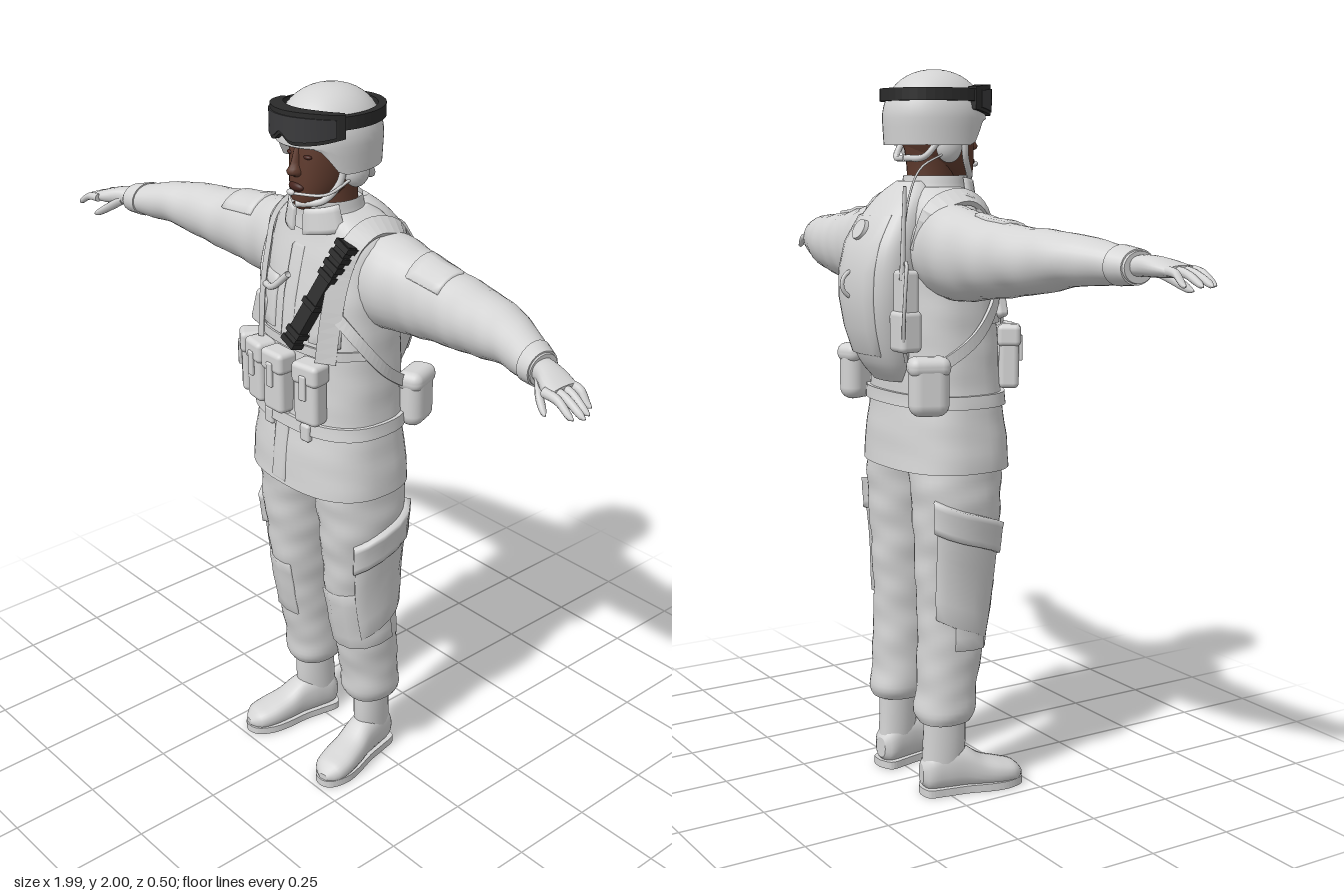
import * as THREE from 'three';
import { RoundedBoxGeometry } from 'three/addons/geometries/RoundedBoxGeometry.js';

const V = (x, y, z) => new THREE.Vector3(x, y, z);
const { sin, cos, abs, sign, PI } = Math;

// Surface through rows of points; closed rows wrap, ends can be capped
function skin(rows, { closed = true, flip = false, caps = true } = {}) {
  const m = rows[0].length, pos = [], idx = [];
  rows.forEach(r => r.forEach(p => pos.push(p.x, p.y, p.z)));
  const tri = (a, b, c) => (flip ? idx.push(a, c, b) : idx.push(a, b, c));
  for (let i = 0; i < rows.length - 1; i++) {
    for (let j = 0; j < (closed ? m : m - 1); j++) {
      const a = i * m + j, b = i * m + (j + 1) % m;
      tri(a, a + m, b);
      tri(b, a + m, b + m);
    }
  }
  if (closed && caps) [rows[0], rows.at(-1)].forEach((r, end) => {
    const base = pos.length / 3, c = V(0, 0, 0);
    r.forEach(p => { c.add(p); pos.push(p.x, p.y, p.z); });
    c.divideScalar(m);
    pos.push(c.x, c.y, c.z);
    for (let j = 0; j < m; j++) {
      const k = base + (j + 1) % m;
      end ? tri(base + m, k, base + j) : tri(base + m, base + j, k);
    }
  });
  const g = new THREE.BufferGeometry();
  g.setAttribute('position', new THREE.Float32BufferAttribute(pos, 3));
  g.setIndex(idx);
  g.computeVertexNormals();
  return g;
}
function flat(g) {
  const f = g.toNonIndexed();
  f.computeVertexNormals();
  return f;
}

// Smoothly interpolated cross-section [t, u, v, ru, rv] of a form
function section(s, t) {
  let i = 0;
  while (i < s.length - 2 && t > s[i + 1][0]) i++;
  const h = s[i + 1][0] - s[i][0], k = (t - s[i][0]) / h;
  const slope = (n, c) => {
    const a = s[Math.max(n - 1, 0)], b = s[Math.min(n + 1, s.length - 1)];
    return (b[c] - a[c]) / (b[0] - a[0]) * h;
  };
  return [1, 2, 3, 4].map(c => {
    const a = s[i][c], b = s[i + 1][c], k2 = k * k, k3 = k2 * k;
    return a * (2 * k3 - 3 * k2 + 1) + b * (3 * k2 - 2 * k3) + slope(i, c) * (k3 - 2 * k2 + k) + slope(i + 1, c) * (k3 - k2);
  });
}
// Point on a form at distance t along its axis and angle a around it
function at(f, t, a, off = 0) {
  const [u, v, ru, rv] = section(f.s, t), e = 2 / (f.n ?? 2);
  const w = 1 + (f.w ?? 0) * (sin(t * 47 + 2 * a) + 0.6 * sin(t * 83 - 3 * a));
  const p = u + (ru * w + off) * sign(cos(a)) * abs(cos(a)) ** e;
  const q = v + (rv * w + off) * sign(sin(a)) * abs(sin(a)) ** e;
  return f.axis === 'x' ? V(t, p, q) : f.axis === 'z' ? V(p, q, t) : V(p, t, q);
}
function loft(f, rows = 24, cols = 28, t0 = f.s[0][0], t1 = f.s.at(-1)[0], off = 0, caps = true) {
  const r = Array.from({ length: rows + 1 }, (_, i) =>
    Array.from({ length: cols }, (_, j) => at(f, t0 + (t1 - t0) * i / rows, j / cols * 2 * PI, off)));
  return skin(r, { flip: !!f.axis && f.axis !== 'y', caps });
}
// Raised panel lying on a form
function panel(f, t0, t1, a0, a1, off, slant = 0) {
  const k = [0, 0.015, 0.2, 0.4, 0.6, 0.8, 0.985, 1], edge = i => i === 0 || i === k.length - 1;
  return skin(k.map((kt, i) => k.map((ka, j) =>
    at(f, t0 + (t1 - t0) * kt + slant * ka, a0 + (a1 - a0) * ka, edge(i) || edge(j) ? -0.003 : off))),
  { closed: false, flip: f.axis === 'x' });
}
// Flat webbing along a path
function strap(pts, width, thick = 0.01) {
  const curve = new THREE.CatmullRomCurve3(pts), n = 28;
  return flat(skin(Array.from({ length: n + 1 }, (_, i) => {
    const p = curve.getPoint(i / n), t = curve.getTangent(i / n);
    const out = p.clone().sub(V(0, Math.min(p.y, 1.45), 0.03)).normalize();
    const side = t.clone().cross(out).normalize().multiplyScalar(width / 2);
    const up = side.clone().normalize().cross(t).multiplyScalar(thick);
    return [p.clone().sub(side), p.clone().add(side), p.clone().add(side).add(up), p.clone().sub(side).add(up)];
  })));
}
const tube = (pts, r, n = 24) => new THREE.TubeGeometry(new THREE.CatmullRomCurve3(pts.map(p => V(...p))), n, r, 8);
const ball = (x, y, z, rx, ry, rz) => new THREE.SphereGeometry(1, 20, 14).scale(rx, ry, rz).translate(x, y, z);
const rbox = (w, h, d, r = 0.012) => new RoundedBoxGeometry(w, h, d, 3, r);
// Curved bar around the head between two angles
function headBar(a0, a1, low, high, inner, outer) {
  const n = 40;
  return flat(skin(Array.from({ length: n + 1 }, (_, i) => {
    const a = a0 + (a1 - a0) * i / n;
    const p = (r, y) => V(r[0] * cos(a), y, 0.045 + r[1] * sin(a));
    return [p(inner, low(a)), p(outer, low(a)), p(outer, high(a)), p(inner, high(a))];
  }), { flip: true }));
}
function mirrored(g) {
  const m = g.clone().scale(-1, 1, 1);
  if (!m.index) m.setIndex([...Array(m.attributes.position.count).keys()]);
  const a = m.index.array;
  for (let i = 0; i < a.length; i += 3) [a[i], a[i + 1]] = [a[i + 1], a[i]];
  return m;
}

// Main body forms
const torso = { n: 2.5, w: 0.004, s: [[0.93, 0, 0.05, 0.235, 0.17], [1.02, 0, 0.05, 0.227, 0.163], [1.13, 0, 0.048, 0.213, 0.15],
  [1.3, 0, 0.042, 0.204, 0.145], [1.45, 0, 0.035, 0.2, 0.137], [1.55, 0, 0.025, 0.2, 0.125], [1.62, 0, 0.02, 0.19, 0.11],
  [1.665, 0, 0.025, 0.15, 0.095], [1.69, 0, 0.035, 0.09, 0.08]] };
const arm = { axis: 'x', w: 0.012, s: [[0.1, 1.53, 0, 0.11, 0.1], [0.2, 1.52, -0.003, 0.125, 0.108], [0.3, 1.513, -0.007, 0.11, 0.095],
  [0.42, 1.513, 0.002, 0.094, 0.089], [0.5, 1.515, 0.012, 0.085, 0.087], [0.58, 1.52, 0.028, 0.075, 0.08],
  [0.66, 1.525, 0.05, 0.062, 0.07], [0.74, 1.52, 0.082, 0.05, 0.058], [0.81, 1.516, 0.108, 0.038, 0.046]] };
const leg = { n: 2.2, w: 0.014, s: [[0.215, 0.128, 0.003, 0.066, 0.074], [0.24, 0.126, 0.004, 0.08, 0.086], [0.3, 0.125, 0.01, 0.078, 0.084],
  [0.4, 0.125, 0.02, 0.079, 0.092], [0.5, 0.122, 0.03, 0.078, 0.1], [0.6, 0.12, 0.037, 0.081, 0.112], [0.7, 0.122, 0.04, 0.09, 0.118],
  [0.8, 0.124, 0.042, 0.1, 0.125], [0.9, 0.118, 0.043, 0.107, 0.13], [1, 0.11, 0.045, 0.105, 0.13]] };

export function createModel() {
  const group = new THREE.Group();
  const mat = (name, color, side = THREE.FrontSide) => Object.assign(new THREE.MeshStandardMaterial({ color, side }), { name });
  const white = mat('whiteFabric', 0xd4d4d4, THREE.DoubleSide), skinTone = mat('brownSkin', 0x5e3a2d);
  const black = mat('blackRubber', 0x2b2b2b), lens = mat('darkLens', 0x3a3a3c), lip = mat('darkLips', 0x47251f);
  const add = (name, g, m = white) => {
    const mesh = new THREE.Mesh(g, m);
    mesh.name = name;
    group.add(mesh);
    return mesh;
  };
  const both = (name, g, m) => { add(name + 'Left', g, m); add(name + 'Right', mirrored(g), m); };
  const path = list => list.map(([y, a]) => at(torso, y, a, 0.004));

  // Jacket
  add('jacket', loft(torso, 44, 44));
  add('collar', loft({ s: [[1.64, 0, 0.04, 0.12, 0.1], [1.68, 0, 0.045, 0.095, 0.09], [1.72, 0, 0.05, 0.087, 0.088]] }, 8, 32, 1.64, 1.72, 0, false));
  both('collarFlap', panel({ s: [[1.63, 0, 0.042, 0.12, 0.11], [1.72, 0, 0.052, 0.09, 0.092]] }, 1.65, 1.715, 0.4, 1.4, 0.008, -0.015));
  add('frontPlacket', panel(torso, 0.935, 1.6, PI / 2 - 0.02, PI / 2 + 0.12, 0.004));
  both('chestPocket', panel(torso, 1.36, 1.5, 0.75, 1.3, 0.007));
  add('belt', loft(torso, 4, 44, 1.105, 1.14, 0.01));
  for (const x of [-0.07, 0.08]) add('beltKeeper', rbox(0.035, 0.05, 0.02, 0.008).translate(x, 1.11, 0.2));

  // Sleeves and gloves
  both('sleeve', loft(arm, 44, 28));
  both('sleevePocket', panel(arm, 0.31, 0.43, -0.2, 0.9, 0.007));
  both('sleeveCuff', loft(arm, 4, 24, 0.765, 0.805, 0.004));
  both('palm', loft({ axis: 'x', n: 2.3, s: [[0.79, 1.518, 0.105, 0.024, 0.033], [0.83, 1.52, 0.12, 0.026, 0.036],
    [0.87, 1.516, 0.137, 0.022, 0.046], [0.91, 1.511, 0.15, 0.014, 0.046]] }, 10, 20));
  [[0.963, 0.118], [0.985, 0.15], [0.993, 0.173], [0.978, 0.195]].forEach(([tip, z], i) => {
    const z0 = 0.113 + 0.025 * i;
    both('finger', loft({ axis: 'x', s: [[0.885, 1.513, z0, 0.012, 0.012], [0.93, 1.508, (z0 + z) / 2, 0.011, 0.011],
      [tip - 0.012, 1.486, z, 0.009, 0.009], [tip, 1.481, z, 0.002, 0.002]] }, 10, 10));
  });
  both('thumb', loft({ axis: 'x', s: [[0.825, 1.512, 0.14, 0.014, 0.014], [0.855, 1.49, 0.17, 0.014, 0.013],
    [0.888, 1.468, 0.19, 0.01, 0.01], [0.9, 1.463, 0.196, 0.002, 0.002]] }, 10, 10));

  // Trousers
  both('trouserLeg', loft(leg, 60, 30));
  both('thighPocket', panel(leg, 0.52, 0.83, -0.9, 0.75, 0.01, -0.07));
  both('thighPocketFlap', panel(leg, 0.77, 0.86, -0.95, 0.8, 0.018, -0.08));
  both('kneePatch', panel(leg, 0.43, 0.62, -0.3, 2.1, 0.007, -0.02));

  // Boots, toes turned slightly outward
  const turn = g => g.rotateY(0.2).translate(0.128, 0, 0);
  both('bootShaft', turn(loft({ s: [[0.05, 0, -0.005, 0.042, 0.06], [0.14, 0, 0.002, 0.045, 0.062], [0.26, 0, 0.003, 0.048, 0.06]] }, 10, 24)));
  both('bootFoot', turn(loft({ axis: 'z', n: 2.4, s: [[-0.066, 0, 0.06, 0.02, 0.03], [-0.05, 0, 0.065, 0.039, 0.05], [0, 0, 0.075, 0.045, 0.065],
    [0.06, 0, 0.07, 0.046, 0.06], [0.11, 0, 0.053, 0.05, 0.045], [0.17, 0, 0.043, 0.053, 0.035], [0.215, 0, 0.037, 0.042, 0.026],
    [0.235, 0, 0.03, 0.015, 0.01]] }, 26, 24)));
  const sole = new THREE.Shape();
  sole.moveTo(0, -0.07);
  sole.splineThru([[0.04, -0.055], [0.044, 0], [0.045, 0.06], [0.055, 0.13], [0.054, 0.18], [0.035, 0.225], [0, 0.24], [-0.03, 0.225],
    [-0.05, 0.18], [-0.052, 0.13], [-0.044, 0.06], [-0.044, 0], [-0.04, -0.055], [0, -0.07]].map(p => new THREE.Vector2(...p)));
  const soleGeo = (a, b) => new THREE.ExtrudeGeometry(sole, { depth: 0.022, bevelEnabled: false, curveSegments: 5 })
    .scale(1, 1, -1).rotateX(PI / 2).translate(a, b, 0);
  both('bootSole', turn(mirrored(soleGeo(0, 0)).scale(1, 1, 1)));

  // Head and face
  add('neck', loft({ s: [[1.62, 0, 0.035, 0.065, 0.07], [1.74, 0, 0.035, 0.06, 0.068], [1.84, 0, 0.03, 0.07, 0.08]] }, 8, 24), skinTone);
  add('head', loft({ n: 2.2, s: [[1.697, 0, 0.125, 0.02, 0.025], [1.712, 0, 0.108, 0.042, 0.05], [1.75, 0, 0.075, 0.064, 0.086],
    [1.8, 0, 0.058, 0.076, 0.101], [1.85, 0, 0.05, 0.08, 0.105], [1.93, 0, 0.048, 0.075, 0.1]] }, 24, 32), skinTone);
  add('nose', loft({ s: [[1.783, 0, 0.15, 0.012, 0.012], [1.794, 0, 0.157, 0.021, 0.027], [1.815, 0, 0.153, 0.013, 0.02],
    [1.86, 0, 0.143, 0.01, 0.015]] }, 10, 14), skinTone);
  add('lips', ball(0, 1.757, 0.156, 0.027, 0.012, 0.012), lip);
  both('eye', ball(0.032, 1.837, 0.145, 0.014, 0.006, 0.009), lip);
  both('ear', ball(0.08, 1.81, 0.04, 0.012, 0.032, 0.02), skinTone);

  // Helmet with a rim that drops over ears and nape
  const shell = [];
  for (let i = 0; i <= 15; i++) shell.push(Array.from({ length: 40 }, (_, j) => {
    const a = j / 40 * 2 * PI, th = Math.min(i / 12, 1) * PI / 2, drop = Math.max(0, i - 12) / 3;
    const rim = 1.8 + 0.067 * THREE.MathUtils.smoothstep(sin(a), 0.35, 0.8), r = Math.max(sin(th), 0.001) ** 0.92 * (1 - 0.03 * drop);
    return V(0.125 * r * cos(a), 1.87 + 0.13 * cos(th) + (rim - 1.87) * drop, 0.045 + 0.146 * r * sin(a));
  }));
  add('helmet', skin(shell, { flip: true, caps: false }));
  both('earCup', ball(0.093, 1.795, 0.035, 0.024, 0.042, 0.038));
  both('chinStrap', tube([[0.1, 1.83, 0.08], [0.088, 1.77, 0.09], [0.06, 1.725, 0.12], [0, 1.712, 0.158]], 0.009));
  both('napeStrap', tube([[0.095, 1.81, 0], [0.075, 1.77, -0.03], [0, 1.765, -0.045]], 0.009));
  add('microphoneBoom', tube([[0.1, 1.78, 0.06], [0.085, 1.75, 0.13], [0.015, 1.748, 0.183]], 0.004));
  add('microphone', ball(0.01, 1.75, 0.183, 0.013, 0.008, 0.008));

  // Goggles worn on the helmet
  add('goggleStrap', headBar(0, 2 * PI, () => 1.915, () => 1.948, [0.11, 0.13], [0.13, 0.152]), black);
  const low = a => 1.878 + 0.022 * Math.exp(-(((a - PI / 2) / 0.16) ** 2)) + 0.02 * abs(cos(a)) ** 4;
  const high = a => 1.962 - 0.012 * abs(cos(a)) ** 4;
  add('goggleFrame', headBar(0.35, PI - 0.35, low, high, [0.112, 0.12], [0.132, 0.16]), black);
  add('goggleLens', headBar(0.5, PI - 0.5, a => low(a) + 0.009, a => high(a) - 0.012, [0.125, 0.155], [0.135, 0.164]), lens);

  // Hydration pack
  const pack = { n: 2.4, s: [[1.17, 0, -0.09, 0.07, 0.035], [1.22, 0, -0.105, 0.092, 0.062], [1.32, 0, -0.122, 0.112, 0.082],
    [1.42, 0, -0.13, 0.124, 0.086], [1.52, 0, -0.12, 0.126, 0.084], [1.6, 0, -0.09, 0.115, 0.072], [1.67, 0, -0.05, 0.09, 0.052],
    [1.705, 0, -0.03, 0.05, 0.028]] };
  add('pack', loft(pack, 30, 32));
  add('packPanel', panel(pack, 1.24, 1.62, -PI / 2 - 0.75, -PI / 2 + 0.75, 0.008));
  add('packCap', new THREE.CylinderGeometry(0.028, 0.032, 0.025, 24).rotateX(-1.1).translate(0, 1.575, -0.18));
  add('packHandle', new THREE.TorusGeometry(0.035, 0.006, 8, 24).rotateY(PI / 2).translate(0, 1.435, -0.207));

  // Webbing and drinking hose
  both('shoulderStrap', strap(path([[1.32, 1.0], [1.45, 0.95], [1.56, 0.9], [1.63, 0.7], [1.66, 0.1], [1.63, -0.6], [1.52, -0.9]]), 0.055, 0.014));
  both('sideStrap', strap(path([[1.46, 0.95], [1.38, 0.45], [1.29, 0], [1.22, -0.6], [1.2, -0.95]]), 0.03));
  add('chestStrap', strap(path([[1.34, 0.3], [1.34, 0.9], [1.34, PI / 2], [1.34, 2.25], [1.34, 2.85]]), 0.025, 0.006));
  add('drinkingHose', tube([[-0.15, 1.64, -0.04], [-0.165, 1.665, 0.05], [-0.175, 1.56, 0.11], [-0.145, 1.475, 0.155], [-0.08, 1.47, 0.18], [-0.02, 1.52, 0.172]], 0.009, 36));
  add('chestPouch', rbox(0.06, 0.1, 0.035).rotateZ(-0.3).translate(-0.145, 1.385, 0.155));

  // Ammunition pouches with flaps
  [[-0.172, 0.058, 0.18, -0.6], [-0.105, 0.07, 0.2, -0.15], [-0.018, 0.078, 0.21, 0], [0.1, 0.08, 0.2, 0.15]].forEach(([x, w, z, turnY]) => {
    const p = new THREE.Group();
    p.name = 'frontPouch';
    const body = new THREE.Mesh(rbox(w, 0.17, 0.055, 0.015), white), flap = new THREE.Mesh(rbox(w + 0.008, 0.06, 0.064, 0.014), white);
    const tab = new THREE.Mesh(rbox(0.022, 0.07, 0.01, 0.004), white);
    body.name = 'pouchBody'; flap.name = 'pouchFlap'; tab.name = 'pouchTab';
    flap.position.y = 0.06; tab.position.set(0, 0.025, 0.032);
    p.add(body, flap, tab);
    p.position.set(x, 1.232, z);
    p.rotation.y = turnY;
    group.add(p);
  });
  both('canteenPouch', rbox(0.07, 0.155, 0.11, 0.033).rotateY(0.35).translate(0.195, 1.17, -0.09));
  both('canteenFlap', rbox(0.076, 0.055, 0.115, 0.025).rotateY(0.35).translate(0.194, 1.225, -0.09));

  // Radio with aerial and cables
  add('radio', rbox(0.06, 0.2, 0.05).translate(-0.17, 1.38, -0.145));
  add('radioPouch', rbox(0.075, 0.11, 0.065, 0.015).translate(-0.168, 1.32, -0.145));
  add('aerial', new THREE.CylinderGeometry(0.005, 0.008, 0.24, 8).rotateZ(0.06).translate(-0.192, 1.575, -0.165));
  add('radioCable', tube([[-0.16, 1.48, -0.15], [-0.215, 1.5, -0.17], [-0.225, 1.42, -0.18], [-0.2, 1.3, -0.17], [-0.18, 1.24, -0.15]], 0.005));
  add('headsetCable', tube([[-0.1, 1.78, 0.02], [-0.105, 1.74, -0.06], [-0.13, 1.67, -0.11], [-0.15, 1.56, -0.14], [-0.165, 1.48, -0.15]], 0.003));

  // Dark baton slung across the left chest
  const top = V(0.155, 1.64, 0.118), foot = V(0.042, 1.355, 0.218), baton = new THREE.Group();
  baton.name = 'chestBaton';
  const part = (name, w, h, d, y) => {
    const m = new THREE.Mesh(new THREE.BoxGeometry(w, h, d).translate(0, y, 0), black);
    m.name = name;
    baton.add(m);
  };
  part('batonBody', 0.042, 0.32, 0.03, 0);
  for (const y of [-0.15, -0.12, -0.03, 0.06, 0.09, 0.12, 0.15]) part('batonRib', 0.052, 0.016, 0.038, y);
  baton.position.copy(top).add(foot).multiplyScalar(0.5);
  baton.quaternion.setFromUnitVectors(V(0, 1, 0), top.clone().sub(foot).normalize());
  group.add(baton);
  return group;
}
